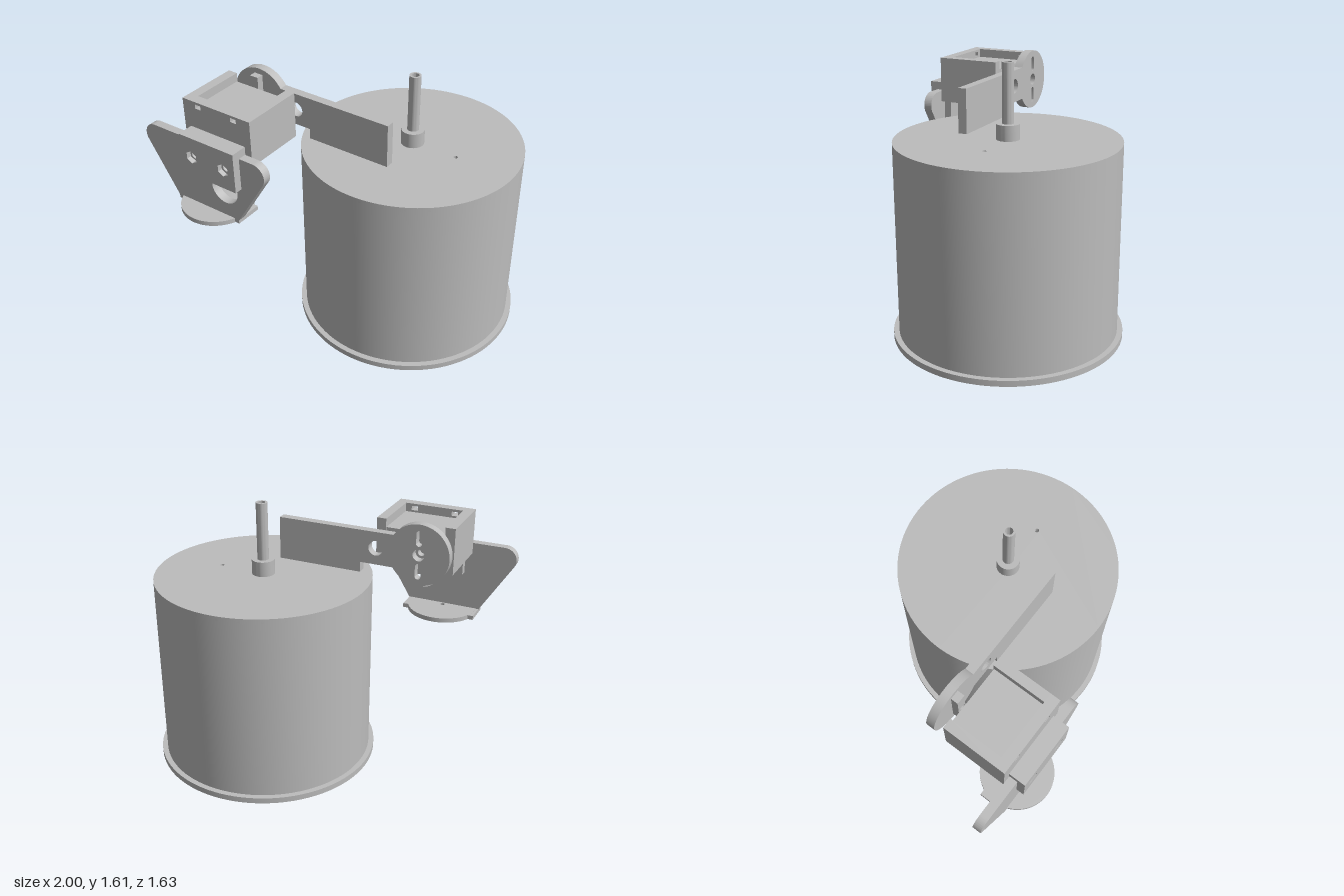
import * as THREE from 'three';
import { toCreasedNormals } from 'three/addons/utils/BufferGeometryUtils.js';

const grey = new THREE.MeshStandardMaterial({ color: 0xbcbcbc });
grey.name = 'plain grey';

export function createModel() {
  const model = new THREE.Group();
  model.name = 'drumWithServoArm';

  const add = (name, geometry, parent = model) => {
    const mesh = new THREE.Mesh(geometry, grey);
    mesh.name = name;
    parent.add(mesh);
    return mesh;
  };
  const group = (name) => {
    const g = new THREE.Group();
    g.name = name;
    model.add(g);
    return g;
  };
  // Box given by its limits
  const block = (name, [x0, x1], [y0, y1], [z0, z1], parent) =>
    add(name, new THREE.BoxGeometry(x1 - x0, y1 - y0, z1 - z0)
      .translate((x0 + x1) / 2, (y0 + y1) / 2, (z0 + z1) / 2), parent);
  const circle = (x, y, r) => new THREE.Path().absarc(x, y, r, 0, Math.PI * 2, true);
  const poly = (points) => new THREE.Shape(points.map(([x, y]) => new THREE.Vector2(x, y)));
  const rect = (x0, x1, y0, y1) => poly([[x0, y0], [x1, y0], [x1, y1], [x0, y1]]);
  const hexagon = (x, y, r) => poly(Array.from({ length: 6 }, (_, i) => {
    const a = Math.PI / 6 + i * Math.PI / 3;
    return [x + r * Math.cos(a), y + r * Math.sin(a)];
  }));
  const extrude = (shape, depth) => toCreasedNormals(
    new THREE.ExtrudeGeometry(shape, { depth, bevelEnabled: false, curveSegments: 32 }), 0.5);
  const upright = (name, shape, z0, z1, parent) =>
    add(name, extrude(shape, z1 - z0).translate(0, 0, z0), parent);
  // Flat-lying plate; the shape's y stands for -z
  const lying = (name, shape, y0, y1, parent) =>
    add(name, extrude(shape, y1 - y0).rotateX(-Math.PI / 2).translate(0, y0, 0), parent);
  const turned = (name, points, segments, parent) =>
    add(name, toCreasedNormals(new THREE.LatheGeometry(
      points.map(([r, y]) => new THREE.Vector2(r, y)), segments), 0.5).translate(0.32, 0, -0.138), parent);

  // Hollow drum, open at the bottom, with a foot flange
  const drum = group('drum');
  turned('drumWall', [[0.628, 0], [0.677, 0], [0.677, 0.035], [0.645, 0.035],
    [0.645, 1.17], [0.628, 1.17], [0.628, 0]], 96, drum);
  const lid = new THREE.Shape().absarc(0.32, 0.138, 0.645, 0, Math.PI * 2);
  lid.holes.push(circle(0.32, 0.138, 0.022), circle(0.605, 0.138, 0.012));
  lying('drumLid', lid, 1.145, 1.17, drum);

  // Hollow shaft with its collar
  turned('shaft', [[0.022, 1.165], [0.068, 1.165], [0.068, 1.26], [0.034, 1.26],
    [0.034, 1.605], [0.022, 1.605], [0.022, 1.165]], 48);

  // Swing arm: paddle, narrow neck and round hub in one outline
  const hx = -0.55, hy = 1.335, hr = 0.185, a = Math.asin(0.1 / hr);
  const arm = new THREE.Shape();
  arm.moveTo(-0.19, 1.235);
  arm.lineTo(-0.19, 1.172);
  arm.lineTo(0.34, 1.172);
  arm.lineTo(0.34, 1.435);
  arm.lineTo(hx + hr * Math.cos(a), 1.435);
  arm.absarc(hx, hy, hr, a, Math.PI * 2 - a, false);
  arm.closePath();
  arm.holes.push(circle(-0.286, hy, 0.045), circle(hx, hy, 0.036));
  for (const s of [-1, 1]) {
    const slot = new THREE.Path();
    slot.absarc(hx, hy + s * 0.1 + 0.03, 0.018, 0, Math.PI, false);
    slot.absarc(hx, hy + s * 0.1 - 0.03, 0.018, Math.PI, Math.PI * 2, false);
    slot.closePath();
    arm.holes.push(slot);
  }
  upright('swingArm', arm, 0.115, 0.168);
  const horn = rect(-0.582, -0.525, 1.2, 1.485);
  horn.holes.push(circle(hx, hy, 0.022));
  upright('servoHorn', horn, 0.168, 0.212);

  // Servo box: filled tray with a rim, open at the back
  const servo = group('servoBox');
  block('servoBody', [-0.665, -0.303], [1.2, 1.43], [0.235, 0.56], servo);
  block('rightWall', [-0.725, -0.665], [1.2, 1.483], [0.23, 0.56], servo);
  block('leftWall', [-0.303, -0.245], [1.2, 1.483], [0.23, 0.56], servo);
  const front = rect(-0.725, -0.245, 1.2, 1.483);
  for (const x of [-0.615, -0.36]) front.holes.push(rect(x - 0.02, x + 0.02, 1.442, 1.468));
  upright('frontWall', front, 0.56, 0.622, servo);

  // Wing plate: rounded upper corners tapering to the foot
  const bracket = group('bracket');
  const cx = -0.56;
  const wing = new THREE.Shape();
  wing.moveTo(cx - 0.23, 0.808);
  wing.lineTo(cx + 0.23, 0.808);
  wing.lineTo(cx + 0.23, 0.83);
  wing.absarc(cx + 0.364, 1.19, 0.076, -0.53, Math.PI / 2, false);
  wing.absarc(cx - 0.364, 1.19, 0.076, Math.PI / 2, Math.PI + 0.53, false);
  wing.lineTo(cx - 0.23, 0.83);
  wing.closePath();
  wing.holes.push(circle(-0.418, 1.015, 0.094));
  upright('wingPlate', wing, 0.625, 0.677, bracket);

  // Round foot with a rectangular tab
  const foot = new THREE.Shape().absarc(cx, -0.598, 0.215, 0, Math.PI * 2);
  foot.holes.push(circle(cx, -0.6, 0.015));
  lying('footDisc', foot, 0.806, 0.834, bracket);
  for (const s of [-1, 1]) {
    const xs = [cx + s * 0.15, cx + s * 0.23].sort((p, q) => p - q);
    block('footTab', xs, [0.807, 0.833], [0.51, 0.65], bracket);
  }

  // Clamp block with stepped hexagonal bolt recesses
  const clamp = group('clampBlock');
  const by = [1.065, 1.315], bx = [-0.682, -0.29];
  const bolts = [-0.603, -0.372];
  const layer = (name, holes, z0, z1) => {
    const shape = rect(...bx, ...by);
    shape.holes.push(...holes);
    upright(name, shape, z0, z1, clamp);
  };
  block('clampBack', bx, by, [0.58, 0.66], clamp);
  layer('clampMiddle', bolts.map((x) => circle(x, 1.187, 0.024)), 0.66, 0.695);
  layer('clampFront', bolts.map((x) => hexagon(x, 1.187, 0.04)), 0.695, 0.725);

  return model;
}
